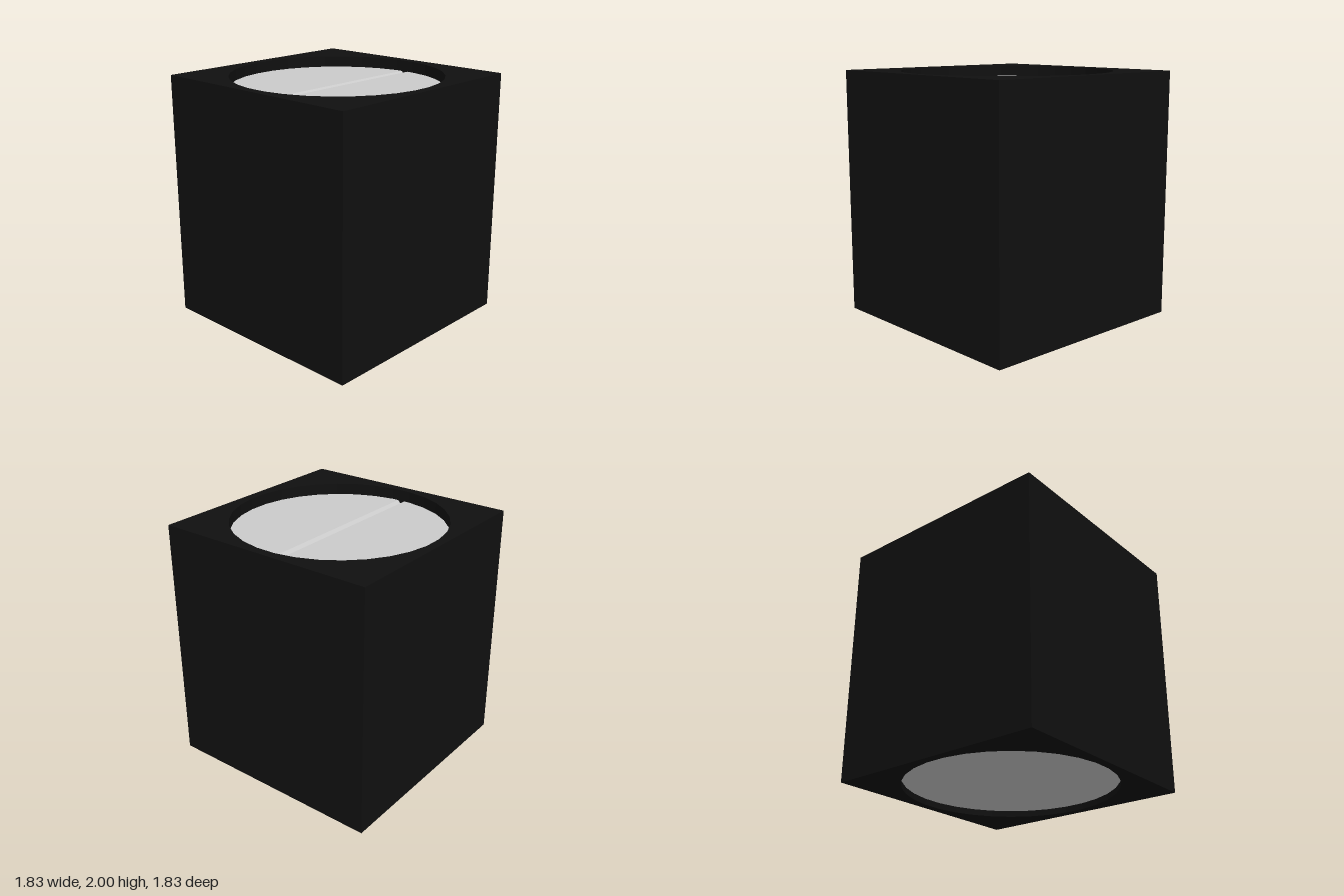
import * as THREE from 'three';

const HALF = 0.915, HEIGHT = 2;
const RADIUS = 0.845, SIDES = 32;
const PLUG_BOTTOM = 0.05, PLUG_TOP = 1.91;
const GROOVE = 0.03; // half width and depth of the V groove

// corner of the 32-sided bore, with flats facing the axes
function ringPoint(i) {
  const a = ((i + 0.5) / SIDES) * Math.PI * 2;
  return new THREE.Vector2(Math.cos(a) * RADIUS, Math.sin(a) * RADIUS);
}

// extrude a plan outline upwards between two heights
function extrudeUp(shape, y0, y1) {
  const g = new THREE.ExtrudeGeometry(shape, { depth: y1 - y0, bevelEnabled: false });
  return g.rotateX(-Math.PI / 2).translate(0, y0, 0);
}

export function createModel() {
  const model = new THREE.Group();
  model.name = 'boredBlock';
  const black = new THREE.MeshStandardMaterial({ color: 0x101010 });
  const grey = new THREE.MeshStandardMaterial({ color: 0xcccccc });
  const add = (parent, name, geometry, material) => {
    const mesh = new THREE.Mesh(geometry, material);
    mesh.name = name;
    parent.add(mesh);
  };

  // square housing with a round bore from top to bottom
  const square = new THREE.Shape([[-1, -1], [1, -1], [1, 1], [-1, 1]]
    .map(([x, y]) => new THREE.Vector2(x * HALF, y * HALF)));
  square.holes.push(new THREE.Path(Array.from({ length: SIDES }, (_, i) => ringPoint(i))));
  add(model, 'housing', extrudeUp(square, 0, HEIGHT), black);

  // recessed plug: two segments either side of a grooved strip
  const plug = new THREE.Group();
  plug.name = 'plug';
  model.add(plug);
  const flat = RADIUS * Math.cos(Math.PI / SIDES);
  const quarter = SIDES / 4;
  const arc = Array.from({ length: SIDES / 2 }, (_, i) => ringPoint(i - quarter));
  const segment = [new THREE.Vector2(GROOVE, -flat), ...arc, new THREE.Vector2(GROOVE, flat)];
  for (const [name, side] of [['plugLeft', 1], ['plugRight', -1]]) {
    const outline = segment.map((p) => new THREE.Vector2(p.x * side, p.y));
    add(plug, name, extrudeUp(new THREE.Shape(outline), PLUG_BOTTOM, PLUG_TOP), grey);
  }

  // centre strip with a V groove along its top
  const vee = new THREE.Shape([
    [-GROOVE, PLUG_BOTTOM], [GROOVE, PLUG_BOTTOM], [GROOVE, PLUG_TOP],
    [0, PLUG_TOP - GROOVE], [-GROOVE, PLUG_TOP],
  ].map(([x, y]) => new THREE.Vector2(x, y)));
  const strip = new THREE.ExtrudeGeometry(vee, { depth: flat * 2, bevelEnabled: false });
  add(plug, 'groovedStrip', strip.translate(0, 0, -flat), grey);

  return model;
}
